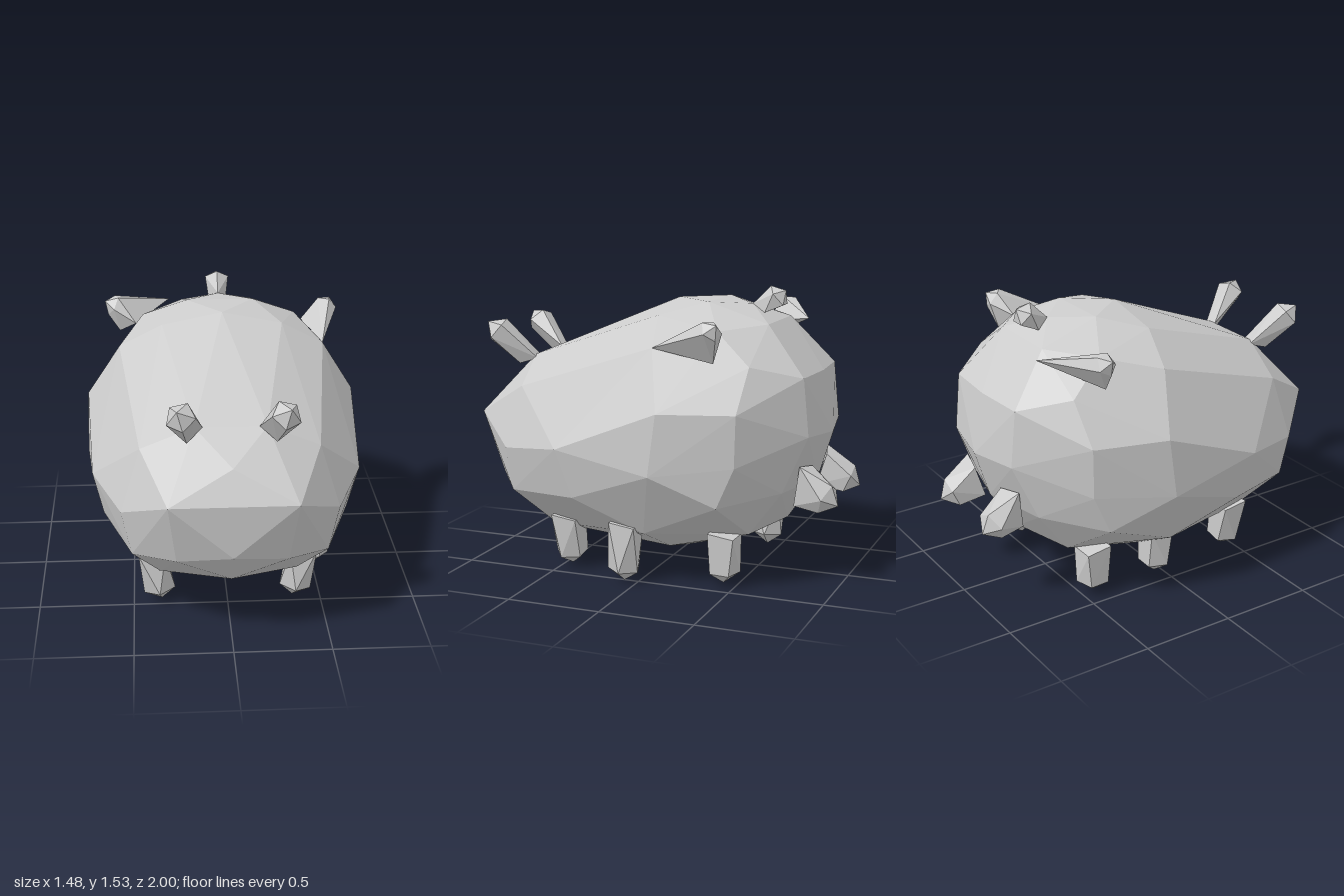
import * as THREE from 'three';
import { ConvexGeometry } from 'three/addons/geometries/ConvexGeometry.js';

const grey = new THREE.MeshStandardMaterial({ color: 0xcccccc });
grey.name = 'plain grey';

const V = (p) => new THREE.Vector3(...p);
const mirror = (p) => [-p[0], p[1], p[2]];

function hull(name, points) {
  const mesh = new THREE.Mesh(new ConvexGeometry(points), grey);
  mesh.name = name;
  return mesh;
}

// Faceted stub: base corners sunk in the body, a ring near the end, a pointed cap
function stub(name, base, tip, radius, cap = 0.06, sides = 5) {
  const end = V(tip);
  const centre = base.reduce((c, p) => c.add(V(p)), new THREE.Vector3()).divideScalar(base.length);
  const axis = end.clone().sub(centre).normalize();
  const turn = new THREE.Quaternion().setFromUnitVectors(new THREE.Vector3(0, 1, 0), axis);
  const points = [...base.map(V), end];
  for (let i = 0; i < sides; i++) {
    const a = (i / sides) * Math.PI * 2;
    points.push(new THREE.Vector3(Math.sin(a) * radius, -cap, Math.cos(a) * radius)
      .applyQuaternion(turn).add(end));
  }
  return hull(name, points);
}

// Square of corners around a point, flat in x and z
const square = ([x, y, z], r, drop = 0) =>
  [[x - r, y, z - r], [x + r, y, z - r], [x + r, y + drop, z + r], [x - r, y + drop, z + r]];

export function createModel() {
  const model = new THREE.Group();
  model.name = 'lowPolyCreature';

  // Body: corner points of one half, mirrored across x
  const middle = [
    [0, 0.52, 0.98], [0, 0.97, 0.91], [0, 0.32, 0.82], [0, 0.15, 0.35], [0, 0.075, -0.1],
    [0, 0.19, -0.45], [0, 0.29, -0.66], [0, 0.52, -0.82], [0, 0.78, -0.9], [0, 1.1, -0.84],
    [0, 1.43, -0.45], [0, 1.45, -0.04],
  ];
  const side = [
    // face and brow
    [0.32, 0.81, 1.0], [0.18, 1.12, 0.74], [0.28, 0.47, 0.9], [0.55, 0.67, 0.74], [0.45, 0.99, 0.69],
    [0.5, 0.43, 0.73],
    // flank
    [0.7, 0.72, 0.38], [0.65, 0.46, 0.31], [0.74, 0.63, -0.15], [0.73, 0.95, -0.19], [0.62, 0.47, -0.47],
    // belly
    [0.3, 0.15, -0.1], [0.55, 0.28, -0.05], [0.36, 0.23, 0.55], [0.33, 0.27, -0.55],
    // rump
    [0.35, 0.51, -0.73], [0.3, 0.8, -0.85], [0.3, 1.1, -0.82], [0.61, 0.68, -0.56], [0.62, 0.95, -0.57],
    [0.48, 1.17, -0.59],
    // back
    [0.18, 1.45, -0.27], [0.32, 1.385, -0.04], [0.55, 1.25, -0.1], [0.42, 1.33, -0.4], [0.2, 1.35, -0.6],
  ];
  model.add(hull('body', [...middle, ...side, ...side.map(mirror)].map(V)));

  // Paired stalks on the brow and tail stubs, mirrored across x
  const brow = [[0.14, 1.12, 0.74], [0.22, 1.07, 0.82], [0.2, 1.1, 0.72]];
  const tail = [[0.14, 0.62, -0.83], [0.28, 0.64, -0.8], [0.24, 0.42, -0.76], [0.13, 0.45, -0.78]];
  for (const flip of [(p) => p, mirror]) {
    model.add(stub('browStalk', brow.map(flip), flip([0.27, 1.3, 0.985]), 0.077, 0.07));
    model.add(stub('tailStub', tail.map(flip), flip([0.235, 0.44, -0.995]), 0.085, 0.07));
  }

  // Spikes on the back: one on the centre line and one on each shoulder, not alike
  model.add(stub('backSpike', [[-0.05, 1.39, -0.53], [0.05, 1.39, -0.53], [0, 1.43, -0.45]],
    [0, 1.505, -0.63], 0.068, 0.05));
  model.add(stub('leftShoulderSpike', [[0.55, 1.25, -0.1], [0.46, 1.29, -0.39], [0.56, 1.19, -0.43]],
    [0.63, 1.39, -0.47], 0.06, 0.05));
  model.add(stub('rightShoulderSpike', [[-0.27, 1.33, -0.68], [-0.46, 1.28, -0.39], [-0.55, 1.22, -0.45]],
    [-0.63, 1.39, -0.46], 0.06, 0.05));

  // Legs: top centre and foot tip
  const legs = [
    ['frontLeftLeg', [0.4, 0.28, 0.45], [0.35, 0.01, 0.45]],
    ['frontRightLeg', [-0.4, 0.28, 0.45], [-0.35, 0.01, 0.45]],
    ['middleLeftLeg', [0.52, 0.31, 0.06], [0.5, 0.0, 0.08]],
    ['middleRightLeg', [-0.4, 0.28, -0.04], [-0.39, 0.005, -0.04]],
    ['backLeftLeg', [0.4, 0.27, -0.44], [0.38, 0.01, -0.43]],
    ['backRightLeg', [-0.4, 0.27, -0.44], [-0.38, 0.01, -0.43]],
  ];
  for (const [name, top, foot] of legs) {
    model.add(stub(name, square(top, 0.07, 0.02), foot, 0.088, 0.065));
  }
  return model;
}
